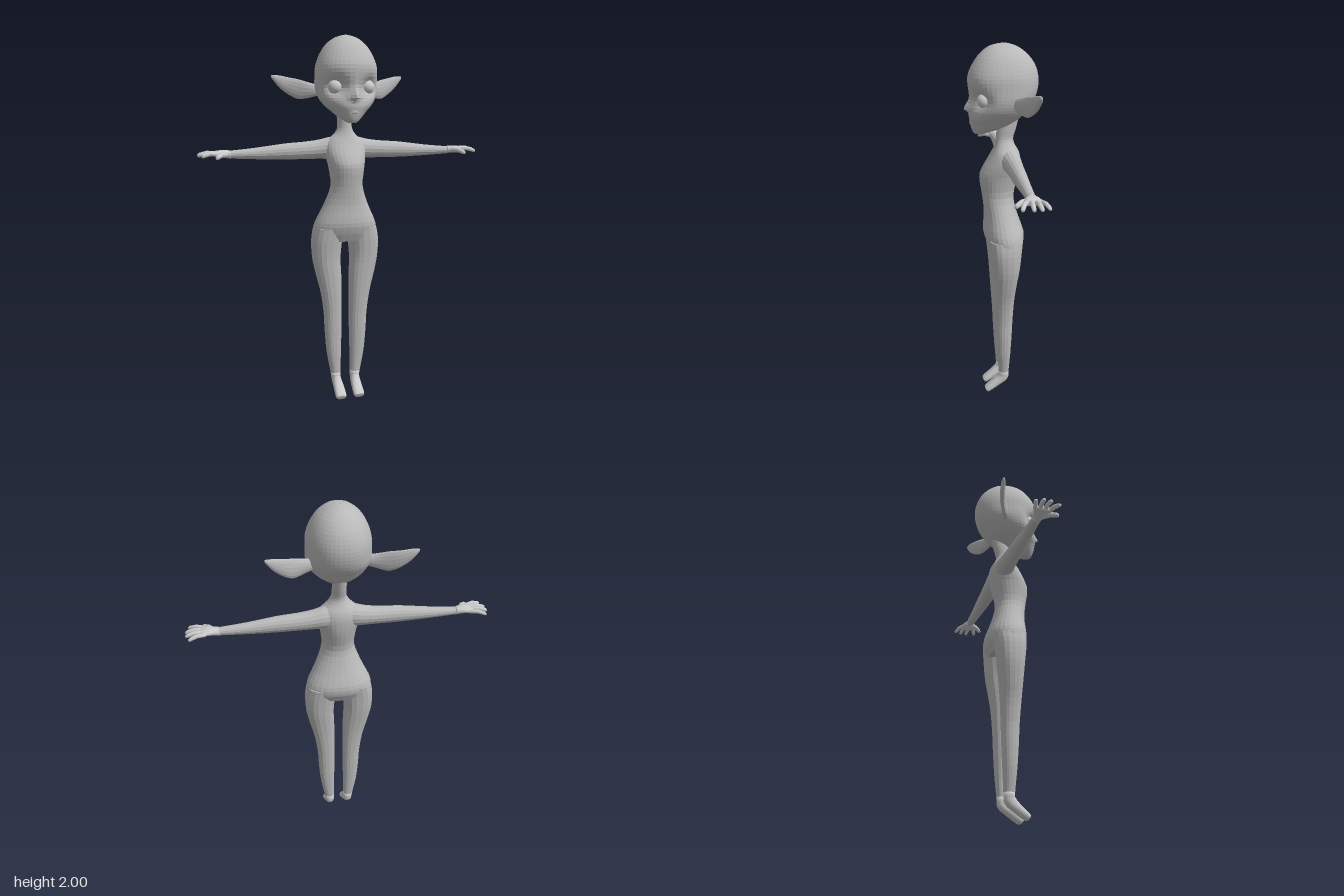
import * as THREE from 'three';

const V = (x, y, z) => new THREE.Vector3(x, y, z);

// Catmull-Rom resampling of rows of numbers, each span cut into `steps`
function resample(rows, steps) {
  const out = [];
  const at = (i) => rows[Math.min(Math.max(i, 0), rows.length - 1)];
  for (let i = 0; i < rows.length - 1; i++) {
    for (let k = 0; k < steps; k++) {
      const t = k / steps;
      out.push(at(i).map((b, c) => {
        const a = at(i - 1)[c], d = at(i + 1)[c], e = at(i + 2)[c];
        return b + 0.5 * t * (d - a + t * (2 * a - 5 * b + 4 * d - e + t * (3 * (b - d) + e - a)));
      }));
    }
  }
  out.push(at(rows.length - 1));
  return out;
}

// Closed skin over elliptical sections { c: centre, u, v: half axes }
function loft(sections, sides, power = 1) {
  const pos = [], index = [], count = sections.length;
  const bend = (k) => Math.sign(k) * Math.abs(k) ** power;
  sections.forEach(({ c, u, v }) => {
    for (let j = 0; j < sides; j++) {
      const a = (j / sides) * Math.PI * 2;
      const p = c.clone().addScaledVector(u, bend(Math.cos(a))).addScaledVector(v, bend(Math.sin(a)));
      pos.push(p.x, p.y, p.z);
    }
  });
  const first = sections[0], last = sections[count - 1];
  pos.push(...first.c.toArray(), ...last.c.toArray());
  const travel = sections[1].c.clone().sub(first.c);
  const flip = first.u.clone().cross(first.v).dot(travel) < 0;
  const tri = (a, b, c) => (flip ? index.push(a, c, b) : index.push(a, b, c));
  for (let j = 0; j < sides; j++) {
    const k = (j + 1) % sides;
    for (let i = 0; i < count - 1; i++) {
      const a = i * sides, b = a + sides;
      tri(a + j, a + k, b + k);
      tri(a + j, b + k, b + j);
    }
    tri(count * sides, k, j);
    tri(count * sides + 1, (count - 1) * sides + j, (count - 1) * sides + k);
  }
  const geo = new THREE.BufferGeometry();
  geo.setAttribute('position', new THREE.Float32BufferAttribute(pos, 3));
  geo.setIndex(index);
  geo.computeVertexNormals();
  return geo;
}

// Horizontal sections from rows [y, halfWidth, frontZ, backZ]
const level = ([y, w, f, b]) => ({ c: V(0, y, (f + b) / 2), u: V(w, 0, 0), v: V(0, 0, (f - b) / 2) });
// Upright sections from rows [x, y, z, halfHeight, halfDepth], s mirrors
const upright = (s) => ([x, y, z, h, d]) => ({ c: V(s * x, y, z), u: V(0, h, 0), v: V(0, 0, d) });

const HEAD = [
  [2.0, 0.015, 0.02, -0.03], [1.985, 0.06, 0.07, -0.075], [1.95, 0.105, 0.115, -0.125],
  [1.9, 0.138, 0.152, -0.165], [1.84, 0.16, 0.178, -0.185], [1.78, 0.165, 0.178, -0.185],
  [1.72, 0.165, 0.167, -0.165], [1.67, 0.15, 0.17, -0.13], [1.63, 0.12, 0.175, -0.1],
  [1.6, 0.088, 0.17, -0.06], [1.57, 0.058, 0.163, 0.0], [1.55, 0.034, 0.155, 0.06], [1.54, 0.018, 0.145, 0.1],
];
const TORSO = [
  [1.63, 0.036, 0.02, -0.09], [1.56, 0.037, 0.03, -0.072], [1.51, 0.04, 0.034, -0.058],
  [1.475, 0.062, 0.04, -0.068], [1.44, 0.1, 0.055, -0.088], [1.4, 0.112, 0.078, -0.096],
  [1.35, 0.107, 0.108, -0.093], [1.3, 0.097, 0.124, -0.084], [1.2, 0.088, 0.11, -0.06],
  [1.1, 0.122, 0.1, -0.08], [1.0, 0.17, 0.105, -0.114], [0.95, 0.181, 0.093, -0.113],
  [0.92, 0.176, 0.08, -0.099], [0.895, 0.16, 0.068, -0.086],
];
// [centreX, y, z, halfWidth, vY, vZ]: straight down, then tilting into the pointed foot
const LEG = [
  [0.093, 0.97, -0.008, 0.083, 0, 0.092], [0.105, 0.9, -0.007, 0.084, 0, 0.084], [0.108, 0.8, -0.007, 0.078, 0, 0.073],
  [0.096, 0.7, -0.003, 0.07, 0, 0.063], [0.083, 0.6, 0, 0.058, 0, 0.055], [0.074, 0.48, 0, 0.05, 0, 0.048],
  [0.072, 0.38, 0, 0.047, 0, 0.044], [0.068, 0.25, 0, 0.04, 0, 0.037], [0.058, 0.13, 0, 0.028, 0, 0.029],
  [0.055, 0.09, 0.006, 0.026, 0.014, 0.029], [0.053, 0.056, 0.044, 0.029, 0.02, 0.015],
  [0.053, 0.021, 0.09, 0.031, 0.017, 0.01], [0.053, 0.013, 0.104, 0.025, 0.012, 0.007],
];
const ARM = [
  [0.02, 1.405, -0.025, 0.062, 0.055], [0.08, 1.402, -0.032, 0.06, 0.055], [0.14, 1.396, -0.037, 0.052, 0.048],
  [0.22, 1.391, -0.038, 0.047, 0.043], [0.33, 1.387, -0.038, 0.043, 0.038], [0.48, 1.38, -0.04, 0.031, 0.029],
  [0.62, 1.377, -0.04, 0.021, 0.023],
];
const PALM = [
  [0.62, 1.377, -0.04, 0.022, 0.024], [0.64, 1.38, -0.04, 0.021, 0.028], [0.665, 1.383, -0.038, 0.019, 0.038],
  [0.695, 1.383, -0.037, 0.016, 0.046], [0.713, 1.381, -0.037, 0.011, 0.045],
];
// Root and tip of each finger, [x, y, z], with radius
const FINGERS = [
  [[0.69, 1.382, -0.073], [0.775, 1.372, -0.1], 0.011],
  [[0.69, 1.384, -0.05], [0.79, 1.374, -0.062], 0.012],
  [[0.69, 1.384, -0.026], [0.79, 1.374, -0.024], 0.012],
  [[0.69, 1.382, -0.004], [0.775, 1.372, 0.026], 0.012],
  [[0.645, 1.376, -0.025], [0.702, 1.364, 0.046], 0.014],
];
const EAR = [
  [0.13, 1.715, -0.05, 0.03, 0.018], [0.165, 1.712, -0.058, 0.036, 0.02], [0.2, 1.713, -0.072, 0.045, 0.02],
  [0.24, 1.718, -0.092, 0.053, 0.018], [0.285, 1.734, -0.112, 0.046, 0.016], [0.33, 1.756, -0.124, 0.034, 0.014],
  [0.36, 1.775, -0.13, 0.018, 0.011], [0.375, 1.784, -0.132, 0.007, 0.005],
];

// Head skin: egg-shaped plan, eye sockets pressed in, nose pulled out, mouth creased
function headGeometry() {
  const geo = loft(resample(HEAD, 3).map(level), 44, 0.93);
  const p = geo.attributes.position;
  const bell = (d, s) => Math.exp(-(d * d) / (2 * s * s));
  for (let i = 0; i < p.count; i++) {
    const y = p.getY(i), z = p.getZ(i), x = p.getX(i) * (1 + 0.4 * z);
    const front = Math.min(1, Math.max(0, (z - 0.03) / 0.05));
    const socket = front * bell(Math.abs(x) - 0.095, 0.034) * bell(y - 1.73, 0.032);
    const nose = front * bell(x, 0.016) * bell(y - 1.672, y > 1.672 ? 0.032 : 0.011);
    p.setXYZ(i, x * (1 - 0.08 * socket), y, z - 0.042 * socket + 0.032 * nose);
  }
  geo.computeVertexNormals();
  return geo;
}

// Tapered finger with a small arch and a rounded tip
function fingerGeometry([root, tip, r], s) {
  const a = V(s * root[0], root[1], root[2]), b = V(s * tip[0], tip[1], tip[2]);
  const d = b.clone().sub(a).setY(0).normalize();
  const sections = [[0, 1], [0.5, 1], [0.88, 0.9], [0.97, 0.7], [1, 0.35]].map(([t, k]) => {
    const c = a.clone().lerp(b, t);
    c.y += 0.008 * Math.sin(Math.PI * t);
    const u = V(0, r * k, 0);
    return { c, u, v: d.clone().cross(u) };
  });
  return loft(sections, 8);
}

export function createModel() {
  const model = new THREE.Group();
  model.name = 'elfFigure';
  const grey = (name, color) => {
    const material = new THREE.MeshStandardMaterial({ color });
    material.name = name;
    return material;
  };
  const skin = grey('greySkin', 0xb9b9b9);
  skin.flatShading = true;
  const pale = grey('paleGrey', 0xcacaca);

  const add = (name, geo, material = skin, parent = model) => {
    const mesh = new THREE.Mesh(geo, material);
    mesh.name = name;
    parent.add(mesh);
    return mesh;
  };

  add('head', headGeometry());
  add('torso', loft(resample(TORSO, 3).map(level), 28, 0.95));

  // Thin lips, barely raised
  [[1.606, 0.038, 'upperLip'], [1.596, 0.032, 'lowerLip']].forEach(([y, w, name]) => {
    const geo = new THREE.SphereGeometry(1, 14, 8).scale(w, 0.006, 0.012);
    add(name, geo).position.set(0, y, 0.161);
  });

  // Paired parts
  for (const s of [1, -1]) {
    const side = s > 0 ? 'left' : 'right';
    add(side + 'Eye', new THREE.SphereGeometry(0.038, 24, 16), pale).position.set(s * 0.089, 1.727, 0.105);
    add(side + 'Ear', loft(resample(EAR, 2).map(upright(s)), 14));
    add(side + 'Arm', loft(resample(ARM, 3).map(upright(s)), 16));

    const hand = new THREE.Group();
    hand.name = side + 'Hand';
    model.add(hand);
    add('palm', loft(resample(PALM, 2).map(upright(s)), 14), pale, hand);
    FINGERS.forEach((f, i) => add(i === 4 ? 'thumb' : 'finger', fingerGeometry(f, s), pale, hand));

    // Leg down to the ankle, then the foot from the same run of sections
    const leg = resample(LEG, 3).map(([x, y, z, w, vy, vz]) => ({ c: V(s * x, y, z), u: V(w, 0, 0), v: V(0, vy, vz) }));
    add(side + 'Leg', loft(leg.slice(0, 25), 18, 0.85));
    add(side + 'Foot', loft(leg.slice(24), 18, 0.85), pale);
  }
  return model;
}
